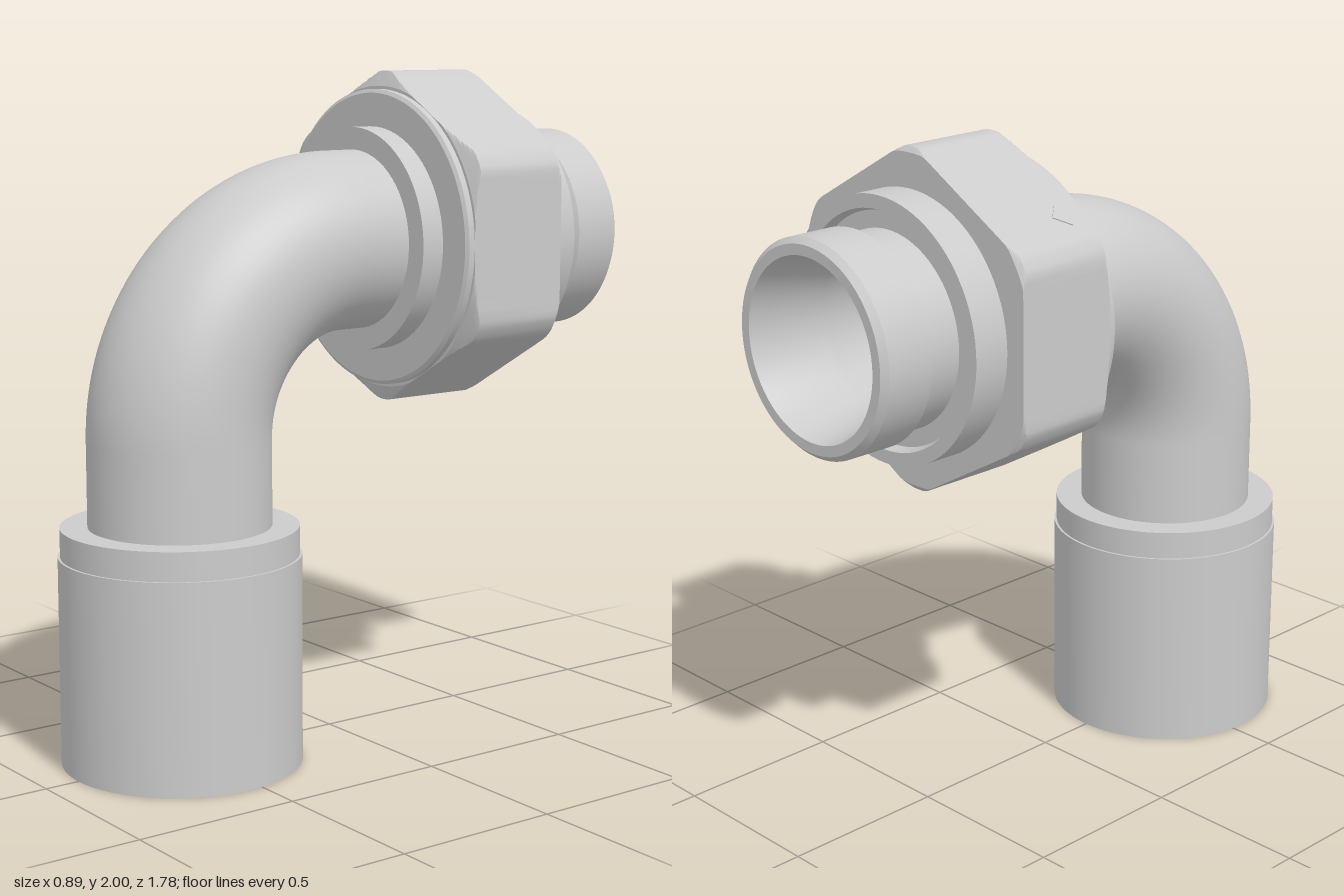
import * as THREE from 'three';
import { toCreasedNormals } from 'three/addons/utils/BufferGeometryUtils.js';

const grey = new THREE.MeshStandardMaterial({ color: 0xcccccc });
const greyBoth = new THREE.MeshStandardMaterial({ color: 0xcccccc, side: THREE.DoubleSide });

const AXIS_Y = 1.5;    // height of the horizontal outlet
const BEND = 0.54;     // bend radius, also z of the vertical leg
const BORE = 0.22;
const FLAT = 0.447;    // centre to flat of the hex nut

// Turned part from [radius, height] pairs, with an optional rule for the radius
function turned(name, profile, segments = 96, limit = null) {
  const geo = new THREE.LatheGeometry(profile.map(([r, h]) => new THREE.Vector2(r, h)), segments);
  if (limit) {
    const p = geo.attributes.position;
    for (let i = 0; i < p.count; i++) {
      const x = p.getX(i), z = p.getZ(i);
      const k = Math.min(1, limit(Math.atan2(x, z)) / Math.hypot(x, z));
      p.setX(i, x * k);
      p.setZ(i, z * k);
    }
  }
  const mesh = new THREE.Mesh(toCreasedNormals(geo, 0.4), grey);
  mesh.name = name;
  return mesh;
}

// Distance from the centre to the hexagon outline, corners at the top and bottom
function hexRadius(angle) {
  const step = Math.PI / 3;
  const a = ((angle % step) + step) % step - step / 2;
  return FLAT / Math.cos(a);
}

export function createModel() {
  const group = new THREE.Group();

  // Crimped hose sleeve with an inner nipple and an annular gap
  const sleeve = turned('hoseSleeve', [
    [BORE, 0], [0.255, 0], [0.255, 0.5], [0.322, 0.5], [0.322, 0],
    [0.355, 0], [0.355, 0.62], [0.348, 0.62], [0.348, 0.705], [BORE, 0.705], [BORE, 0],
  ]);
  sleeve.position.z = BEND;
  group.add(sleeve);

  // Bent pipe: vertical leg, quarter bend, horizontal leg
  const V = (y, z) => new THREE.Vector3(0, y, z);
  const k = BEND * 0.5523, y0 = AXIS_Y - BEND;
  const path = new THREE.CurvePath();
  path.add(new THREE.LineCurve3(V(0.65, BEND), V(y0, BEND)));
  path.add(new THREE.CubicBezierCurve3(V(y0, BEND), V(y0 + k, BEND), V(AXIS_Y, k), V(AXIS_Y, 0)));
  path.add(new THREE.LineCurve3(V(AXIS_Y, 0), V(AXIS_Y, -0.15)));
  for (const [name, r, material] of [['bentPipe', 0.268, grey], ['pipeBore', BORE, greyBoth]]) {
    const pipe = new THREE.Mesh(new THREE.TubeGeometry(path, 80, r, 64), material);
    pipe.name = name;
    group.add(pipe);
  }

  // Outlet, built upward and then laid along -z
  const outlet = new THREE.Group();
  outlet.name = 'outlet';
  outlet.position.y = AXIS_Y;
  outlet.rotation.x = -Math.PI / 2;
  group.add(outlet);

  // Body: collar, flange with seal groove, neck, threaded end with conical mouth
  outlet.add(turned('outletBody', [
    [BORE, 0.09], [0.335, 0.09], [0.335, 0.5], [0.385, 0.5], [0.385, 0.635],
    [0.345, 0.635], [0.335, 0.605], [0.285, 0.605], [0.285, 0.705], [0.31, 0.725],
    [0.31, 0.872], [0.293, 0.89], [0.262, 0.89], [0.215, 0.67], [BORE, 0.64], [BORE, 0.09],
  ]));

  // Hex nut: a turned blank with chamfers, cut to six flats
  const blank = [[0.33, 0.163], [0.435, 0.163], [0.446, 0.17], [0.446, 0.19]];
  for (let i = 0; i <= 5; i++) blank.push([0.455 + 0.009 * i, 0.19 + 0.004 * i]);
  for (let i = 0; i <= 3; i++) blank.push([0.5 - 0.005 * i, 0.51 + 0.004 * i]);
  blank.push([0.33, 0.522], [0.33, 0.163]);
  outlet.add(turned('hexNut', blank, 180, hexRadius));

  // Small lozenge mark on the upper right-hand flat
  const mark = new THREE.Mesh(new THREE.CylinderGeometry(0.042, 0.042, 0.006, 4), grey);
  mark.name = 'lozengeMark';
  const tilt = Math.PI / 6, slide = -0.129;
  mark.position.set(
    -FLAT * Math.sin(tilt) + slide * Math.cos(tilt),
    AXIS_Y + FLAT * Math.cos(tilt) + slide * Math.sin(tilt),
    -0.262);
  mark.rotation.z = tilt;
  group.add(mark);

  return group;
}
